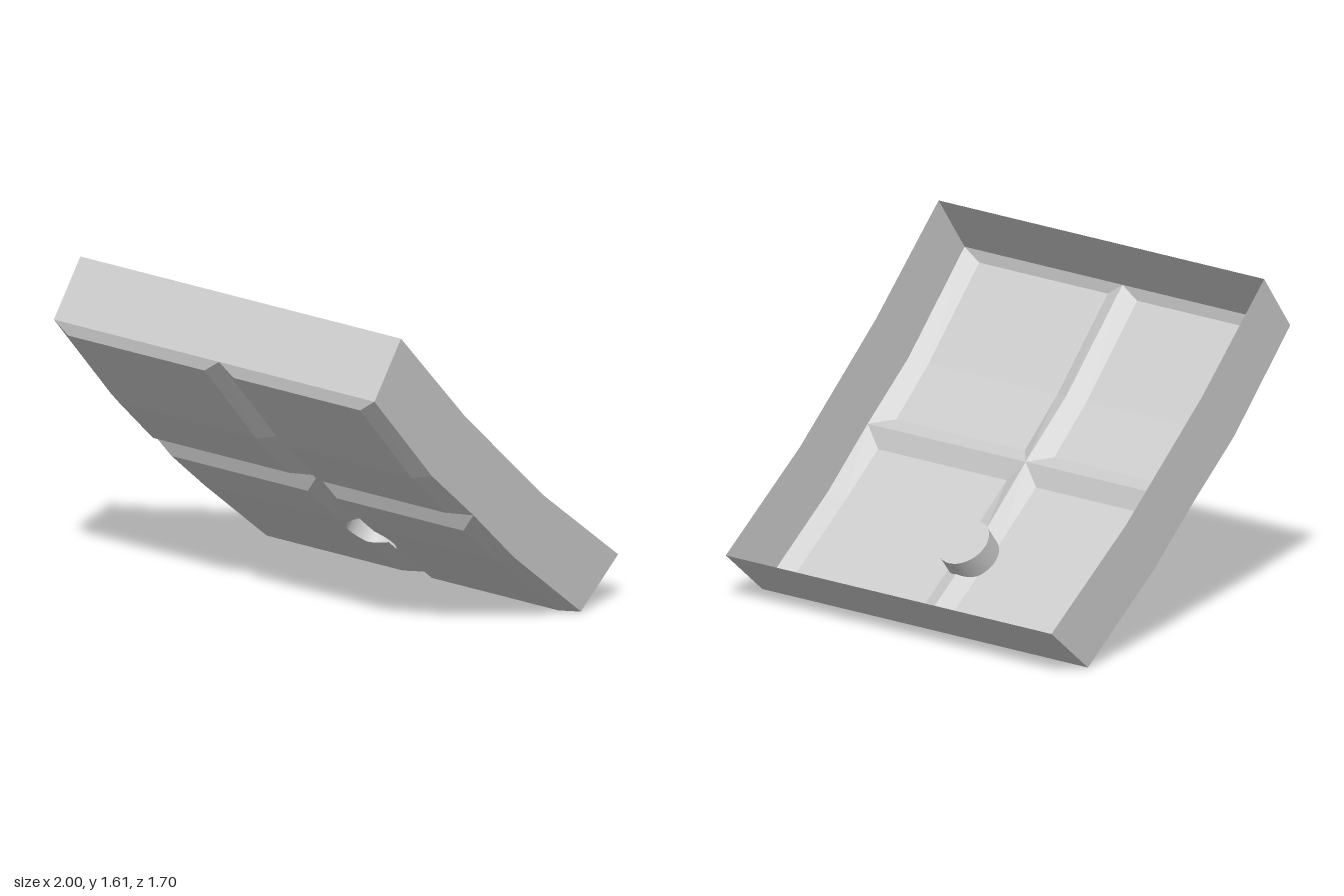
import * as THREE from 'three';

// Side profiles as [z, y]: upper rim, floor ridge line and sunken panel line
const rim = [[-0.85, 0.22], [-0.32, 0.63], [0.22, 1.13], [0.665, 1.605]];
const ridge = [[-0.59, 0], [-0.12, 0.37], [0.16, 0.635], [0.45, 0.89], [0.85, 1.34]];
const lowPanel = [[-0.535, 0], [-0.106, 0.337], [0.13, 0.535]];
const highPanel = [[0.26, 0.652], [0.49, 0.87], [0.85, 1.28]];
const midX = 0.03, bevel = 0.09;

// Lowest floor section: s runs along the slope, depth is measured down from the ridge
const len = 0.598, s0 = 0.043, s1 = 0.589, sink = 0.034;
const studS = 0.455, studR = 0.13, studTop = -0.08;
const onSlope = (x, s, depth) => new THREE.Vector3(
  x, 0.618 * s - 0.786 * depth, -0.59 + 0.786 * s + 0.618 * depth);
const depthAt = (u) => sink * Math.min(1, Math.abs(u) / bevel);

export function createModel() {
  const group = new THREE.Group();
  const material = new THREE.MeshStandardMaterial({ color: 0xcccccc, side: THREE.DoubleSide });

  function add(name, geometry) {
    const mesh = new THREE.Mesh(geometry, material);
    mesh.name = name;
    group.add(mesh);
  }
  const at = (x, [z, y]) => new THREE.Vector3(x, y, z);

  function addQuads(name, quads) {
    const points = quads.flatMap(([a, b, c, d]) => [a, b, c, a, c, d]);
    const geometry = new THREE.BufferGeometry().setFromPoints(points);
    geometry.computeVertexNormals();
    add(name, geometry);
  }

  // Move every vertex of a geometry by a rule
  function remap(geometry, rule) {
    const p = geometry.attributes.position;
    for (let i = 0; i < p.count; i++) {
      const v = rule(p.getX(i), p.getY(i), p.getZ(i));
      p.setXYZ(i, v.x, v.y, v.z);
    }
    geometry.computeVertexNormals();
    return geometry;
  }

  // Side walls
  const outline = [...ridge, ...[...rim].reverse()].map(([z, y]) => new THREE.Vector2(z, y));
  for (const [name, x] of [['leftWall', 1], ['rightWall', -1]]) {
    add(name, remap(new THREE.ShapeGeometry(new THREE.Shape(outline)),
      (z, y) => new THREE.Vector3(x, y, z)));
  }
  // End walls
  const endWall = (a, b) => [[at(-1, a), at(1, a), at(1, b), at(-1, b)]];
  addQuads('frontWall', endWall(ridge[4], rim[3]));
  addQuads('backWall', endWall(rim[0], ridge[0]));

  // Bevelled panels: a flat strip, two side bevels and end bevels
  for (const [side, xa, xb] of [['right', -1, midX], ['left', midX, 1]]) {
    const ia = xa + bevel, ib = xb - bevel;
    for (const [level, edge, inner] of [
      ['Lower', ridge.slice(0, 3), lowPanel],
      ['Upper', ridge.slice(2), highPanel],
    ]) {
      const quads = [];
      for (let i = 0; i < 2; i++) {
        const strip = (x0, p0, x1, p1) => quads.push(
          [at(x0, p0[i]), at(x1, p1[i]), at(x1, p1[i + 1]), at(x0, p0[i + 1])]);
        const pierced = level === 'Lower' && i === 0;
        if (!pierced || side === 'right') strip(xa, edge, ia, inner);
        if (!pierced || side === 'left') strip(ib, inner, xb, edge);
        if (!pierced) {
          strip(ia, inner, ib, inner);
          if (side === 'right') strip(ib, inner, xb, edge);
          else strip(xa, edge, ia, inner);
        }
      }
      quads.push([at(xa, edge[0]), at(xb, edge[0]), at(ib, inner[0]), at(ia, inner[0])]);
      quads.push([at(ia, inner[2]), at(ib, inner[2]), at(xb, edge[2]), at(xa, edge[2])]);
      addQuads(side + level + 'Panel', quads);
    }
  }

  // Floor strips around the round opening
  const arc = (from, to) => Array.from({ length: 17 }, (_, i) => {
    const a = from + (to - from) * i / 16;
    return [studR * Math.cos(a), studS + studR * Math.sin(a)];
  });
  const cut = Math.acos(bevel / studR), quarter = Math.PI / 2;
  for (const [side, sign, width] of [['left', 1, 0.88], ['right', -1, 0.94]]) {
    const pieces = {
      FlatAroundStud: [[bevel, s0], [width, s0], [width, s1], [bevel, s1], ...arc(cut, -cut)],
      BevelBelowStud: [[0, 0], [bevel, s0], ...arc(-cut, -quarter)],
      BevelAboveStud: [...arc(quarter, cut), [bevel, s1], [0, len]],
    };
    for (const [name, points] of Object.entries(pieces)) {
      const shape = new THREE.Shape(points.map(([u, s]) => new THREE.Vector2(u, s)));
      add(side + name, remap(new THREE.ShapeGeometry(shape),
        (u, s) => onSlope(midX + sign * u, s, depthAt(u))));
    }
  }

  // Hollow stud: open below, its lower edge following the floor
  add('studWall', remap(new THREE.CylinderGeometry(studR, studR, 1, 64, 1, true),
    (u, h, s) => onSlope(midX + u, studS + s, h > 0 ? studTop : depthAt(u))));
  add('studCap', remap(new THREE.CircleGeometry(studR, 64),
    (u, s) => onSlope(midX + u, studS - s, studTop)));

  return group;
}
